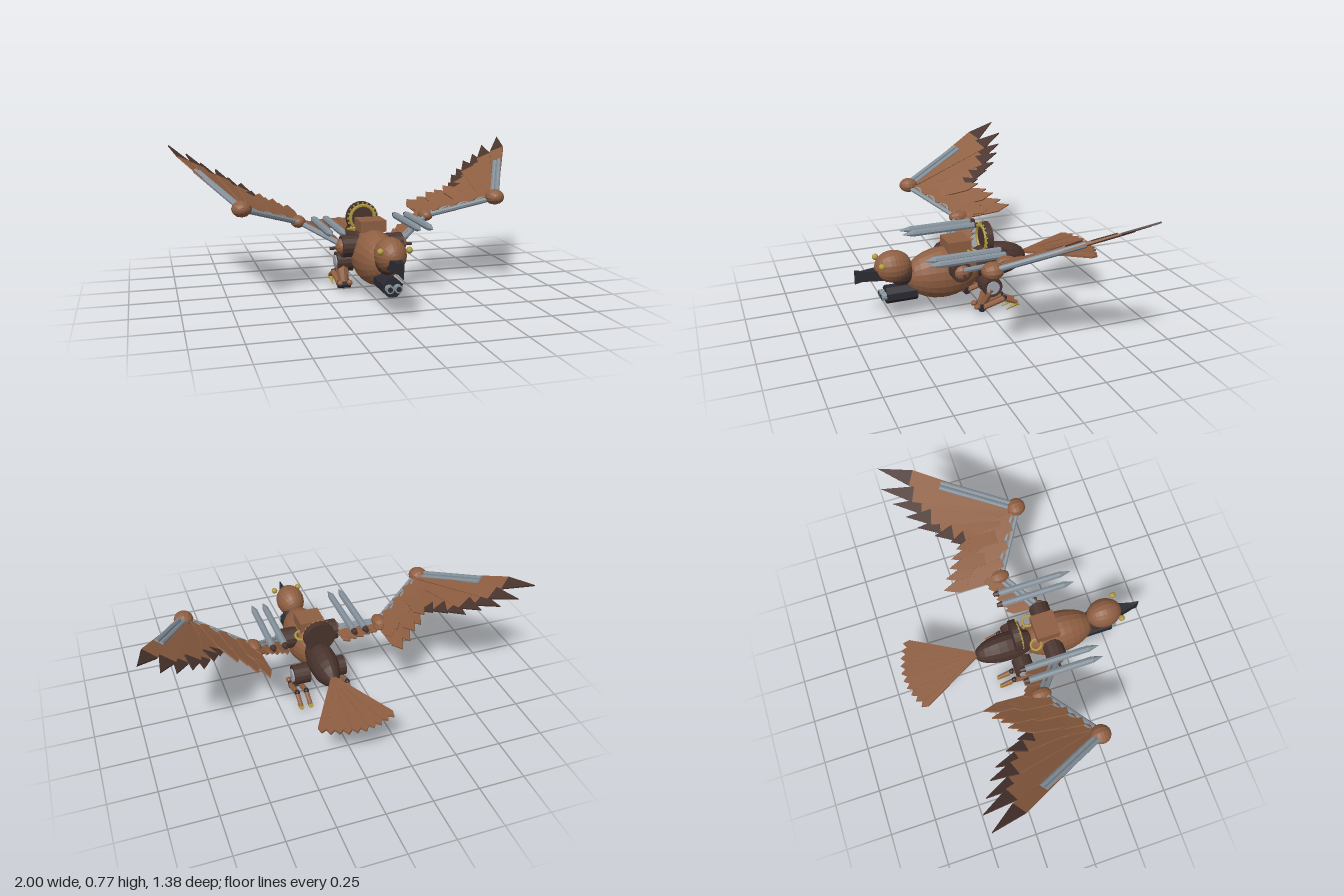
import * as THREE from 'three';

const mat = (name, color) => new THREE.MeshStandardMaterial({ name, color, flatShading: true });
const V = (x, y, z) => new THREE.Vector3(x, y, z);

export function createModel() {
  const root = new THREE.Group();
  root.name = 'mechanicalBird';
  const brown = mat('copperBrown', 0x8f5f42), dark = mat('darkBrown', 0x4a342e);
  const steel = mat('steel', 0x84909a), pale = mat('paleSteel', 0xa4a9b4);
  const black = mat('gunBlack', 0x2a2a32), gold = mat('brass', 0xb09840);

  const add = (name, geo, m) => {
    const mesh = new THREE.Mesh(geo, m);
    mesh.name = name;
    root.add(mesh);
    return mesh;
  };
  // Ellipsoid with its poles along z
  const ball = (name, m, p, r, seg = 16) => {
    const g = new THREE.SphereGeometry(1, seg, Math.round(seg * 0.75)).rotateX(Math.PI / 2);
    g.scale(...r);
    add(name, g, m).position.copy(p);
  };
  // Cylinder or cone from a to b
  const rod = (name, m, a, b, ra, rb = ra, seg = 10) => {
    const d = b.clone().sub(a);
    const mesh = add(name, new THREE.CylinderGeometry(rb, ra, d.length(), seg), m);
    mesh.position.copy(a).addScaledVector(d, 0.5);
    mesh.quaternion.setFromUnitVectors(V(0, 1, 0), d.normalize());
  };
  const ring = (name, m, p, r, t, arc = Math.PI * 2) => {
    const mesh = add(name, new THREE.TorusGeometry(r, t, 6, 24, arc), m);
    mesh.position.copy(p);
    return mesh;
  };
  // Flat pointed feather from base to tip; the end can have another material
  const feather = (name, base, tip, normal, o) => {
    const d = tip.clone().sub(base), L = d.length();
    d.normalize();
    const w = d.clone().cross(normal).normalize(), n = w.clone().cross(d);
    const { root: r0, width, shoulder = 0.75, tipMat = null, thick = 0.008, m = brown } = o;
    const piece = (pts, material, label) => {
      const s = new THREE.Shape(pts.map(([x, y]) => new THREE.Vector2(x, y * L)));
      const g = new THREE.ExtrudeGeometry(s, { depth: thick, bevelEnabled: false });
      g.translate(0, 0, -thick / 2);
      const mesh = add(label, g, material);
      mesh.applyMatrix4(new THREE.Matrix4().makeBasis(w, d, n).setPosition(base));
    };
    const a = r0 / 2, b = width / 2;
    if (tipMat) {
      piece([[-a, 0], [a, 0], [b, shoulder], [-b, shoulder]], m, name);
      piece([[-b, shoulder], [b, shoulder], [0, 1]], tipMat, name + 'Tip');
    } else piece([[-a, 0], [a, 0], [b, shoulder], [0, 1], [-b, shoulder]], m, name);
  };

  // Body, rump, neck and head
  ball('body', brown, V(0, 0.222, 0.21), [0.115, 0.143, 0.212], 20);
  ball('rump', dark, V(0, 0.253, -0.09), [0.078, 0.098, 0.185]);
  ball('neck', dark, V(0, 0.25, 0.44), [0.06, 0.065, 0.075]);
  ball('head', brown, V(0, 0.297, 0.487), [0.08, 0.088, 0.1], 18);

  // Beak: a box narrowed sideways and flared upward towards its tip
  const beak = new THREE.BoxGeometry(2, 2, 0.145, 1, 1, 4);
  const bp = beak.attributes.position;
  for (let i = 0; i < bp.count; i++) {
    const t = bp.getZ(i) / 0.145 + 0.5;
    bp.setX(i, bp.getX(i) * (0.036 * (1 - t) + 0.003));
    bp.setY(i, bp.getY(i) * (t > 0.9 ? 0.04 : 0.027));
  }
  beak.computeVertexNormals();
  add('beak', beak, black).position.set(0, 0.265, 0.622);

  // Chest gun with twin barrels
  const gun = new THREE.CylinderGeometry(0.054, 0.054, 0.17, 8).rotateY(Math.PI / 8).rotateX(Math.PI / 2);
  gun.scale(1, 0.92, 1);
  add('gunHousing', gun, black).position.set(0, 0.14, 0.45);

  // Saddle and backrest
  add('saddle', new THREE.BoxGeometry(0.14, 0.06, 0.13), brown).position.set(0, 0.38, 0.135);
  rod('backrest', dark, V(0, 0.388, -0.055), V(0, 0.388, -0.018), 0.087, 0.087, 24);
  ring('backrestRim', gold, V(0, 0.388, -0.016), 0.068, 0.009);
  for (let i = 0; i < 20; i++) {
    const a = i * Math.PI / 10;
    const stud = add('rimStud', new THREE.BoxGeometry(0.008, 0.014, 0.008), gold);
    stud.position.set(Math.sin(a) * 0.08, 0.388 + Math.cos(a) * 0.08, -0.016);
    stud.rotation.z = -a;
  }

  // Tail fan
  for (let i = 0; i < 10; i++) {
    const a = (-26 + i * 5.9) * Math.PI / 180, L = 0.44 - 0.012 * Math.abs(i - 4.5) / 4.5;
    const y = (i % 2) * 0.003;
    feather('tailFeather', V(0, 0.27 + y, -0.25),
      V(Math.sin(a) * L, 0.258 + y, -0.25 - Math.cos(a) * L), V(0, 1, 0),
      { root: 0.012, width: 0.047, shoulder: 0.93, thick: 0.012 });
  }

  for (const s of [1, -1]) {
    const P = (x, y, z) => V(x * s, y, z);

    ball('eye', gold, P(0.073, 0.333, 0.563), [0.017, 0.017, 0.017], 10);
    ring('handle', gold, P(0.073, 0.345, 0.06), 0.03, 0.007).rotation.x = Math.PI / 2 - 0.3;
    rod('gunBarrel', steel, P(0.022, 0.14, 0.53), P(0.022, 0.14, 0.563), 0.021, 0.021, 12);
    rod('barrelBore', black, P(0.022, 0.14, 0.56), P(0.022, 0.14, 0.565), 0.013, 0.013, 12);

    // Rockets above the wing root
    for (const x of [0.198, 0.264]) {
      rod('rocketBody', steel, P(x, 0.386, -0.045), P(x, 0.386, 0.315), 0.019, 0.019, 8);
      rod('rocketNose', steel, P(x, 0.386, 0.315), P(x, 0.386, 0.375), 0.019, 0.001, 8);
      rod('rocketNozzle', dark, P(x, 0.386, -0.075), P(x, 0.386, -0.045), 0.012, 0.018, 8);
    }

    // Shoulder
    const shoulder = P(0.155, 0.28, 0.15), elbow = P(0.36, 0.388, -0.01);
    const wrist = P(0.683, 0.507, 0.195), rodEnd = P(0.867, 0.652, -0.18);
    rod('shoulderRing', dark, P(0.07, 0.275, 0.155), P(0.165, 0.275, 0.155), 0.058, 0.058, 14);
    ball('shoulderJoint', brown, P(0.16, 0.275, 0.155), [0.035, 0.044, 0.044], 12);
    rod('shoulderPin', dark, P(0.15, 0.268, 0.155), P(0.225, 0.268, 0.155), 0.008);

    // Wing bones: paired rods and joints
    const up = P(-0.47, 0.88, 0);
    for (const [name, a, b] of [['upperArm', shoulder, elbow], ['forearm', elbow, wrist], ['handBone', wrist, rodEnd]]) {
      const off = b.clone().sub(a).cross(up).normalize().multiplyScalar(0.013);
      for (const k of [1, -1]) {
        rod(name, steel, a.clone().addScaledVector(off, k), b.clone().addScaledVector(off, k), 0.014, 0.014, 8);
      }
    }
    ball('elbowJoint', brown, elbow, [0.04, 0.034, 0.056], 12);
    ball('wristJoint', brown, wrist, [0.052, 0.042, 0.053], 12);

    // Outer and middle feathers: tips in plan, height follows the wing slope
    const tips = [[1, -0.475], [0.905, -0.49], [0.825, -0.455], [0.75, -0.41], [0.685, -0.365], [0.625, -0.29],
      [0.575, -0.215], [0.535, -0.2], [0.495, -0.24], [0.455, -0.265], [0.41, -0.3], [0.36, -0.33]];
    tips.forEach(([x, z], i) => {
      const outer = i < 7, t = outer ? i * 0.045 : 0.36 + (i - 7) * 0.152;
      const base = wrist.clone().lerp(elbow, t);
      const tip = P(x, 0.42 + (x - 0.36) * 0.54, z);
      const lift = (i % 2 ? 0.004 : -0.004) - 0.004;
      base.addScaledVector(up, lift);
      tip.addScaledVector(up, i ? lift : 0);
      feather(outer ? 'outerFeather' : 'middleFeather', base, tip, up, {
        root: outer ? 0.03 : 0.07, width: outer ? 0.085 : 0.068,
        shoulder: outer ? 0.77 : 0.76, tipMat: outer ? dark : null,
      });
    });
    // Short coverts over the inner ends of the middle feathers
    for (let i = 0; i < 7; i++) {
      const base = wrist.clone().lerp(elbow, 0.15 + i * 0.13).addScaledVector(up, 0.008 + (i % 2) * 0.004);
      const tip = base.clone().add(P(-0.02, 0.005, -0.2));
      feather('covertFeather', base, tip, up, { root: 0.05, width: 0.055, shoulder: 0.8 });
    }
    // Inner feathers
    for (let i = 0; i < 6; i++) {
      const base = shoulder.clone().lerp(elbow, 0.1 + i * 0.16).addScaledVector(up, (i % 2) * 0.004);
      const tip = base.clone().add(P(0.005, 0.02, -0.17 + i * 0.012));
      feather('innerFeather', base, tip, up, { root: 0.045, width: 0.05, shoulder: 0.75 });
    }

    // Hip wheel and leg
    rod('hipWheel', dark, P(0.06, 0.15, -0.025), P(0.15, 0.15, -0.025), 0.056, 0.056, 16);
    rod('hipCap', pale, P(0.14, 0.15, -0.025), P(0.157, 0.15, -0.025), 0.037, 0.037, 16);
    rod('thigh', brown, P(0.12, 0.14, -0.015), P(0.12, 0.045, 0.035), 0.042, 0.024, 8);
    rod('ankle', black, P(0.085, 0.037, 0.037), P(0.155, 0.037, 0.037), 0.021, 0.021, 10);
    for (const x of [0.095, 0.148]) {
      ball('frontToe', brown, P(x, 0.05, 0.065), [0.016, 0.016, 0.018], 8);
      rod('toe', brown, P(x, 0.04, 0.03), P(x, 0.075, -0.09), 0.015, 0.017, 8);
      ball('toeJoint', black, P(x, 0.077, -0.092), [0.015, 0.017, 0.017], 8);
      rod('toeEnd', brown, P(x, 0.074, -0.09), P(x, 0.038, -0.168), 0.014, 0.012, 8);
      rod('claw', gold, P(x, 0.036, -0.175), P(x, 0.003, -0.103), 0.014, 0.002, 8);
    }
    rod('frontClaw', gold, P(0.12, 0.035, 0.04), P(0.12, 0.005, 0.03), 0.012, 0.002, 8);
  }
  return root;
}
